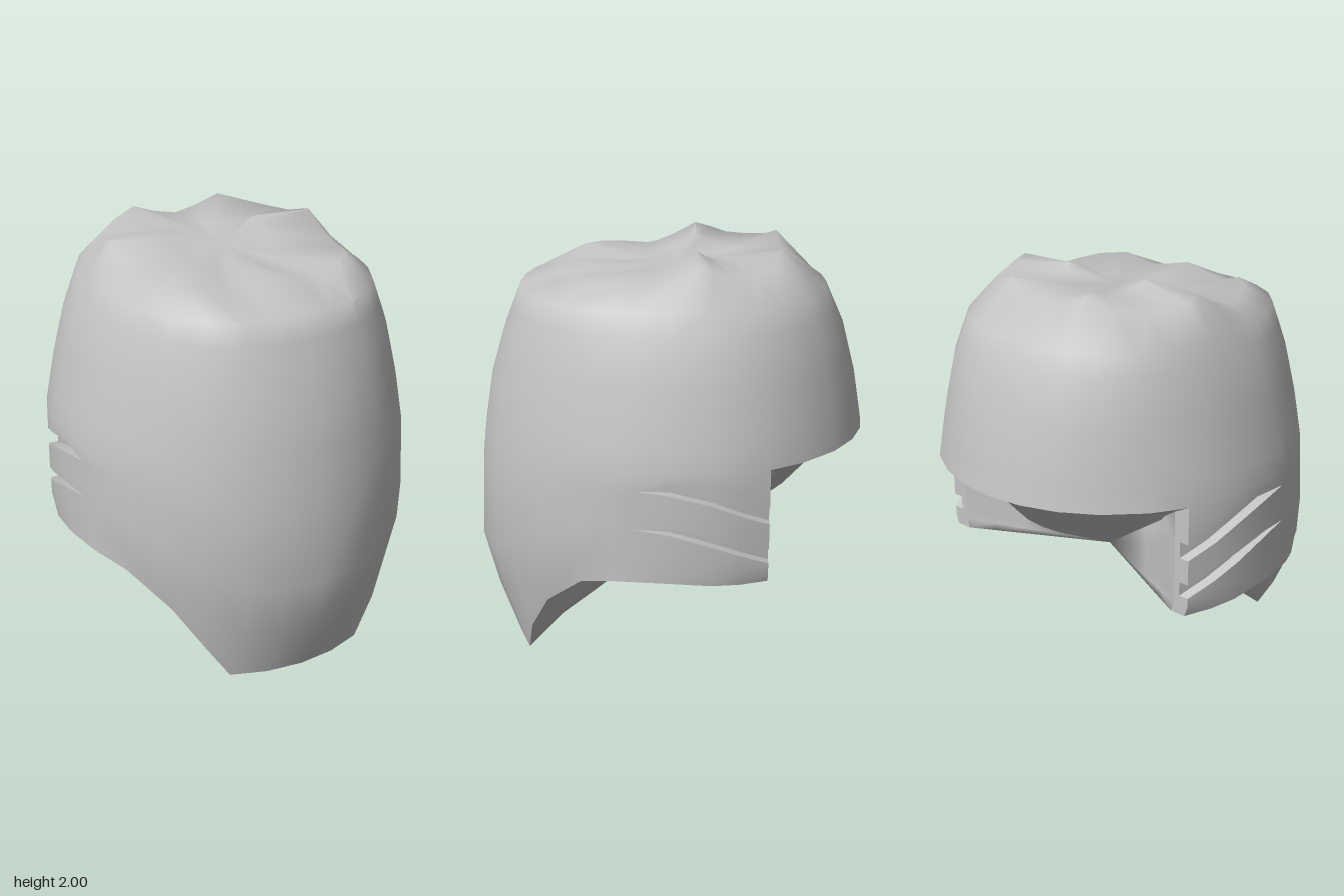
import * as THREE from 'three';
import { toCreasedNormals } from 'three/addons/utils/BufferGeometryUtils.js';

// Column angles on one half, from the front (0) round to the back (PI)
const PHI = [0, 0.22, 0.44, 0.64, 0.86, 1.1, 1.266, 1.357, 1.52, 1.738, 1.886, 2.044, 2.25, 2.5, 2.72, 2.93, Math.PI];
const NOTCH = 11; // last column of the cheek flap
const BROW = 1.11; // height of the rear rim
const CZ = -0.05;

// Lower rim of the face and cheek, per column
const RIM = [0, 0, 0, 0.18, 0.38, 0.55, 0.585, 0.59, 0.59, 0.57, 0.56, 0.555];

// Vent slits, from column 7 to the notch: [lower, upper] edges
const VENTS = [
  { lo: [0.85, 0.83, 0.765, 0.71, 0.65], hi: [0.85, 0.86, 0.82, 0.78, 0.72], frac: 0.5 },
  { lo: [1.035, 1.02, 0.965, 0.905, 0.845], hi: [1.035, 1.08, 1.04, 1.0, 0.925], frac: 0.83 },
];

// Horizontal section by height: y, half width, front reach, back reach, squareness
const PROFILE = [
  [0, 0.84, 0.78, 0.95, 0], [0.26, 0.78, 0.88, 0.95, 0], [0.5, 0.81, 0.95, 0.95, 0], [0.58, 0.868, 0.956, 0.95, 0],
  [0.8, 0.872, 0.952, 0.955, 0], [1.11, 0.868, 0.915, 0.955, 0], [1.35, 0.815, 0.875, 0.915, 0.01],
  [1.6, 0.745, 0.8, 0.85, 0.03], [1.8, 0.655, 0.72, 0.76, 0.06],
];

function section(y) {
  let i = 0;
  while (i < PROFILE.length - 2 && y > PROFILE[i + 1][0]) i++;
  const a = PROFILE[i], b = PROFILE[i + 1];
  const t = (y - a[0]) / (b[0] - a[0]);
  return [1, 2, 3, 4].map((k) => a[k] + (b[k] - a[k]) * t);
}

function ellipsePoint(phi, y, w, front, back, square) {
  const s = 1 + square * Math.sin(2 * phi) ** 2;
  const x = Math.abs(Math.sin(phi)) < 1e-9 ? 0 : Math.sin(phi) * w * s;
  const c = Math.cos(phi) * s;
  return new THREE.Vector3(x, y, CZ + c * (c > 0 ? front - CZ : back + CZ));
}

function shellPoint(phi, y, depth = 0) {
  const p = ellipsePoint(phi, y, ...section(y));
  p.x -= depth;
  return p;
}

// Collects triangles for the left half and mirrors each to the right
class HalfSurface {
  positions = [];
  tri(a, b, c) {
    const area = b.clone().sub(a).cross(c.clone().sub(a)).length();
    if (area < 1e-7) return;
    for (const p of [a, b, c]) this.positions.push(p.x, p.y, p.z);
    for (const p of [a, c, b]) this.positions.push(-p.x, p.y, p.z);
  }
  quad(a, b, c, d) {
    this.tri(a, b, c);
    this.tri(a, c, d);
  }
  strips(columns) {
    for (let i = 0; i < columns.length - 1; i++) {
      const l = columns[i], r = columns[i + 1];
      for (let j = 0; j < l.length - 1; j++) this.quad(l[j], r[j], r[j + 1], l[j + 1]);
    }
  }
  mesh(name, material, crease) {
    const g = new THREE.BufferGeometry();
    g.setAttribute('position', new THREE.Float32BufferAttribute(this.positions, 3));
    const m = new THREE.Mesh(toCreasedNormals(g, crease), material);
    m.name = name;
    return m;
  }
}

// Face and cheek column from rim to brow, with the vents sunk in
function lowerColumn(i) {
  const phi = PHI[i], k = i - 7;
  const column = [shellPoint(phi, RIM[i])];
  VENTS.forEach((v, n) => {
    const even = RIM[i] + (BROW - RIM[i]) * v.frac;
    const lo = k >= 0 ? v.lo[k] : even;
    const hi = k >= 0 ? v.hi[k] : even;
    const depth = k > 0 ? 0.05 : 0;
    if (n === 0) column.push(shellPoint(phi, (RIM[i] + lo) / 2));
    column.push(shellPoint(phi, lo), shellPoint(phi, lo, depth), shellPoint(phi, hi, depth), shellPoint(phi, hi));
  });
  column.push(shellPoint(phi, BROW));
  return column;
}

// Uneven crown: heights of the outer and inner rings per column
const CROWN = [1.905, 1.875, 1.855, 1.905, 1.9, 1.885, 1.875, 1.885, 1.92, 1.98, 1.96, 1.935, 1.935, 1.96, 2.0, 1.955, 1.93];
const INNER = [1.885, 1.88, 1.875, 1.88, 1.885, 1.89, 1.9, 1.91, 1.935, 1.965, 1.99, 1.965, 1.945, 1.94, 1.94, 1.935, 1.935];

function upperColumn(phi, i) {
  return [
    ...[BROW, 1.22, 1.35, 1.48, 1.6, 1.7, 1.8].map((y) => shellPoint(phi, y)),
    ellipsePoint(phi, CROWN[i], 0.54, 0.48, 0.54, 0.13),
    ellipsePoint(phi, INNER[i], 0.24, 0.22, 0.32, 0),
    new THREE.Vector3(0, 1.905, CZ),
  ];
}

export function createModel() {
  const group = new THREE.Group();
  group.name = 'helmet';
  const grey = new THREE.MeshStandardMaterial({ color: 0xc4c4c4 });
  grey.name = 'plain grey';

  // Dome and crown, face guard and cheek flaps
  const shell = new HalfSurface();
  const upper = PHI.map(upperColumn);
  const lower = RIM.map((_, i) => lowerColumn(i));
  shell.strips(upper);
  shell.strips(lower);
  group.add(shell.mesh('shell', grey, 1.1));

  // Rear edge of the cheek flap
  const edge = lower[NOTCH];
  const inner = edge.map((p) => shellPoint(PHI[NOTCH], p.y, 0.08));
  const flap = new HalfSurface();
  for (let j = 0; j < edge.length - 1; j++) flap.quad(edge[j], inner[j], inner[j + 1], edge[j + 1]);
  group.add(flap.mesh('cheekFlapEdge', grey, 0.3));

  // Underside, drawn in to one point, hollowed at the face and sagging behind the notch
  const under = new HalfSurface();
  const hub = new THREE.Vector3(0, 0.56, -0.12);
  const path = [...lower.map((c) => c[0]), ...inner, ...upper.slice(NOTCH).map((c) => c[0])];
  const spokes = path.map((p) => {
    const behind = THREE.MathUtils.smoothstep(-p.z, 0.46, 0.8);
    const ahead = THREE.MathUtils.smoothstep(p.z, 0.3, 0.7);
    const along = (t, backLift, frontLift) => {
      const q = p.clone().lerp(hub, t);
      q.y += backLift * behind + frontLift * ahead;
      return q;
    };
    return [hub, along(0.42, -0.055, 0.02), along(0.2, 0.035, 0.035), p];
  });
  spokes.reverse();
  for (let i = 0; i < spokes.length - 1; i++) {
    const l = spokes[i], r = spokes[i + 1];
    for (let j = 0; j < 3; j++) under.quad(l[j], l[j + 1], r[j + 1], r[j]);
  }
  group.add(under.mesh('underside', grey, Math.PI));

  return group;
}
